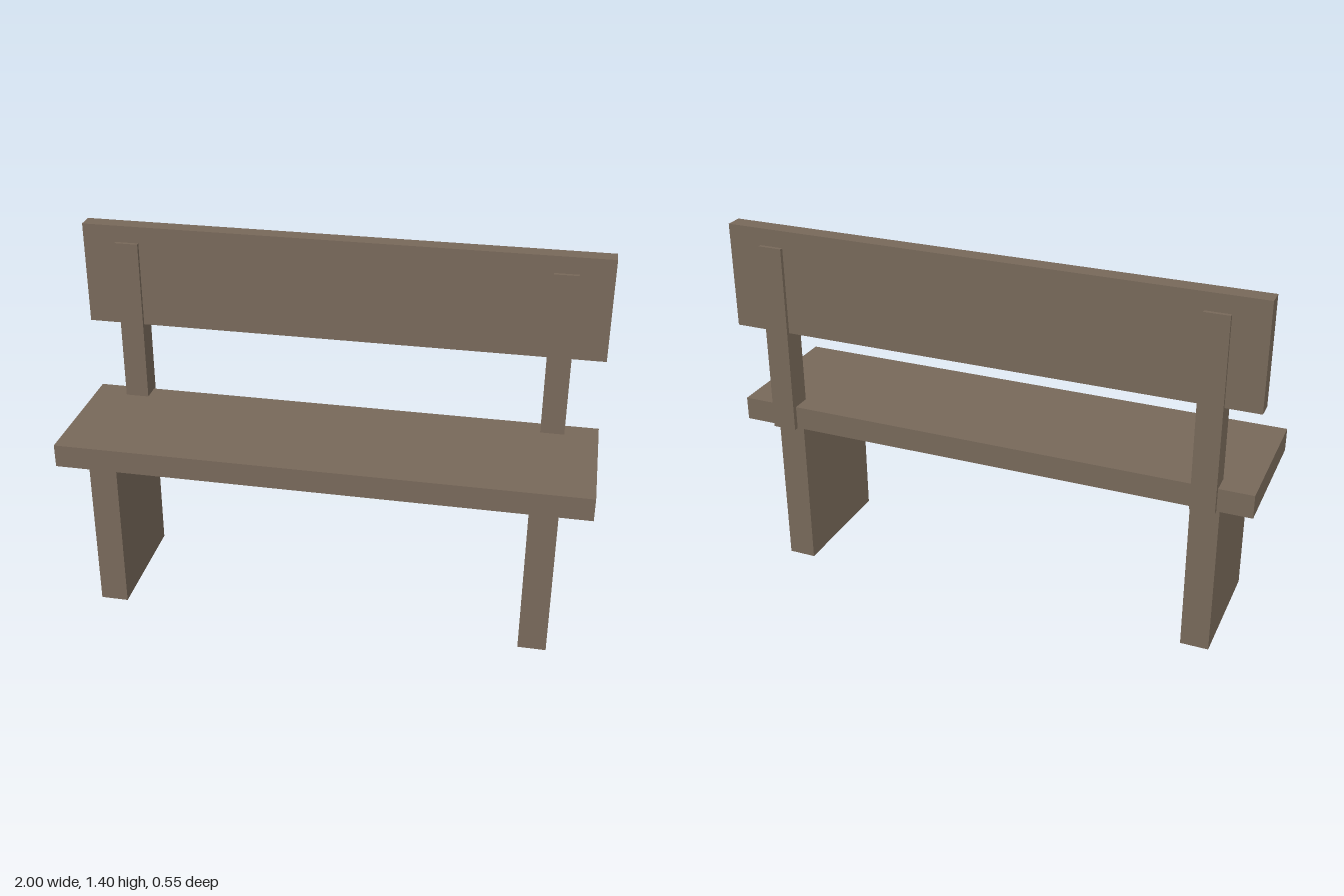
import * as THREE from 'three';

export function createModel() {
  const bench = new THREE.Group();
  bench.name = 'bench';

  const wood = new THREE.MeshStandardMaterial({ color: 0x78695a });
  wood.name = 'weathered wood';

  // Adds a box spanning the given [min, max] ranges
  function addBoard(name, [x0, x1], [y0, y1], [z0, z1]) {
    const mesh = new THREE.Mesh(new THREE.BoxGeometry(x1 - x0, y1 - y0, z1 - z0), wood);
    mesh.position.set((x0 + x1) / 2, (y0 + y1) / 2, (z0 + z1) / 2);
    mesh.name = name;
    bench.add(mesh);
  }

  // Seat plank and backrest plank
  addBoard('seat', [-1, 1], [0.603, 0.692], [-0.257, 0.276]);
  addBoard('backrest', [-1, 1], [1.002, 1.4], [-0.262, -0.197]);

  // Slab legs and back posts, mirrored left and right
  for (const [side, s] of [['left', 1], ['right', -1]]) {
    const span = (a, b) => (s > 0 ? [a, b] : [-b, -a]);
    addBoard(side + 'Leg', span(0.772, 0.878), [0, 0.603], [-0.228, 0.251]);
    addBoard(side + 'BackPost', span(0.781, 0.872), [0.602, 1.335], [-0.276, -0.183]);
  }

  return bench;
}
